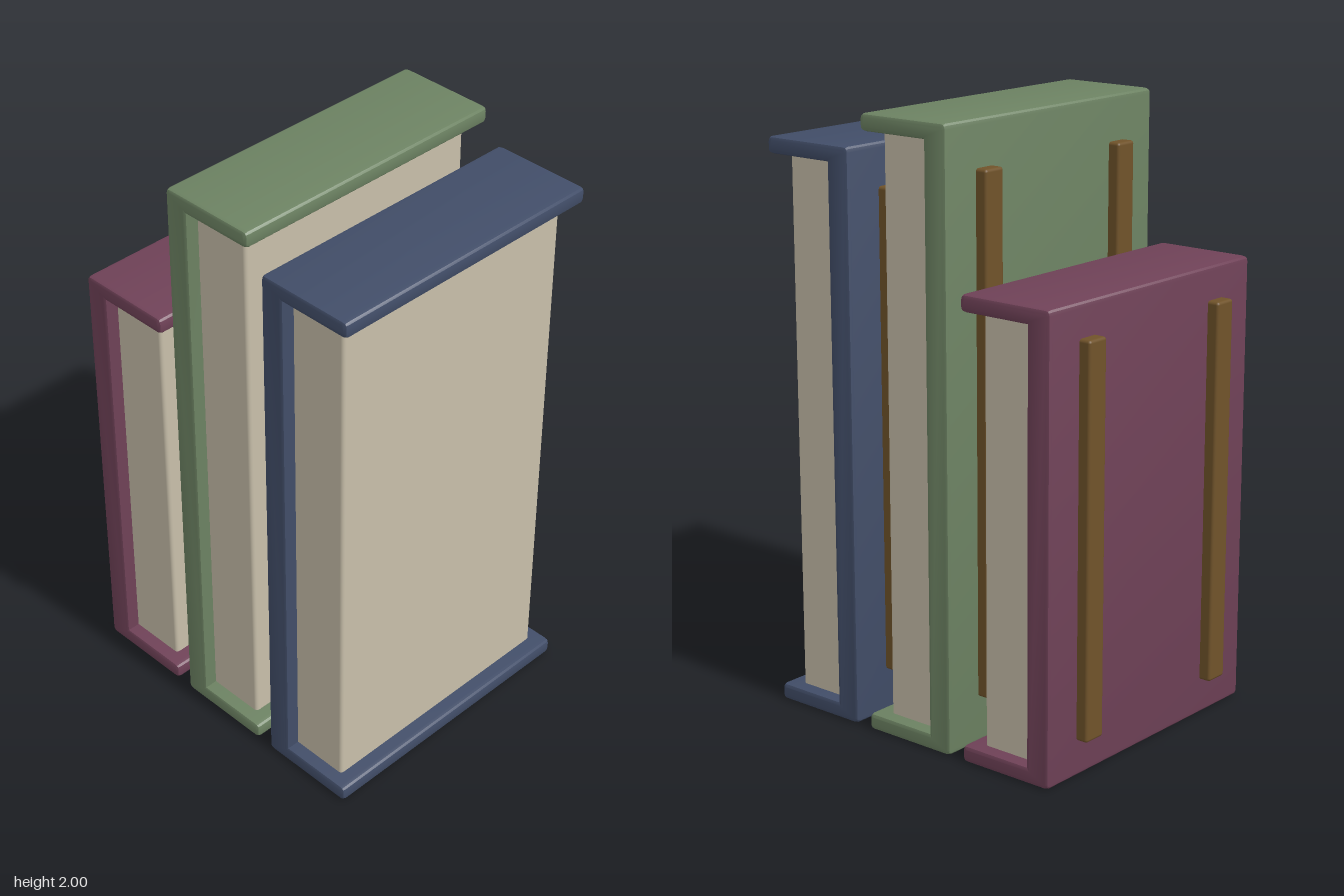
import * as THREE from 'three';
import { toCreasedNormals } from 'three/addons/utils/BufferGeometryUtils.js';
import { RoundedBoxGeometry } from 'three/addons/geometries/RoundedBoxGeometry.js';

const material = (name, color) => new THREE.MeshStandardMaterial({ name, color });

const WIDTH = 0.345, DEPTH = 1.006, SPINE = 0.088, BOARD = 0.056;

// C-shaped outline of spine and boards, with softened outer corners
function coverGeometry(h) {
  const r = 0.018, bevel = 0.013, s = new THREE.Shape();
  s.moveTo(r, 0);
  s.lineTo(WIDTH - r, 0);
  s.quadraticCurveTo(WIDTH, 0, WIDTH, r);
  s.lineTo(WIDTH, BOARD - r);
  s.quadraticCurveTo(WIDTH, BOARD, WIDTH - r, BOARD);
  s.lineTo(SPINE, BOARD);
  s.lineTo(SPINE, h - BOARD);
  s.lineTo(WIDTH - r, h - BOARD);
  s.quadraticCurveTo(WIDTH, h - BOARD, WIDTH, h - BOARD + r);
  s.lineTo(WIDTH, h - r);
  s.quadraticCurveTo(WIDTH, h, WIDTH - r, h);
  s.lineTo(r, h);
  s.quadraticCurveTo(0, h, 0, h - r);
  s.lineTo(0, r);
  s.quadraticCurveTo(0, 0, r, 0);
  const g = new THREE.ExtrudeGeometry(s, {
    depth: DEPTH - 2 * bevel, curveSegments: 3, bevelSegments: 2,
    bevelSize: bevel, bevelThickness: bevel, bevelOffset: -bevel,
  });
  g.translate(0, 0, -DEPTH / 2 + bevel);
  return toCreasedNormals(g, 0.5);
}

function roundedBox(name, mat, x0, x1, y0, y1, z, depth, radius) {
  const mesh = new THREE.Mesh(new RoundedBoxGeometry(x1 - x0, y1 - y0, depth, 2, radius), mat);
  mesh.position.set((x0 + x1) / 2, (y0 + y1) / 2, z);
  mesh.name = name;
  return mesh;
}

export function createModel() {
  const group = new THREE.Group();
  group.name = 'bookRow';
  const paper = material('paper', 0xc8bfaa);
  const bronze = material('bronze', 0x70532a);

  const books = [
    { name: 'plumBook', x: -0.554, h: 1.5, band: [0.12, 1.39], mat: material('plum', 0x704258) },
    { name: 'greenBook', x: -0.156, h: 2.0, band: [0.16, 1.85], mat: material('sageGreen', 0x6d8363) },
    { name: 'blueBook', x: 0.243, h: 1.89, band: [0.15, 1.75], mat: material('slateBlue', 0x424e69) },
  ];

  for (const { name, x, h, band, mat } of books) {
    const book = new THREE.Group();
    book.name = name;
    book.position.x = x;

    const cover = new THREE.Mesh(coverGeometry(h), mat);
    cover.name = 'cover';
    book.add(cover);

    // Page block, tucked slightly into the cover
    book.add(roundedBox('pages', paper, SPINE - 0.02, 0.289, BOARD - 0.015, h - BOARD + 0.015, 0, 0.915, 0.012));

    // Two raised bands on the spine
    for (const side of [1, -1]) {
      book.add(roundedBox(side > 0 ? 'frontBand' : 'backBand', bronze,
        -0.04, 0.02, band[0], band[1], side * 0.323, 0.082, 0.01));
    }
    group.add(book);
  }
  return group;
}
